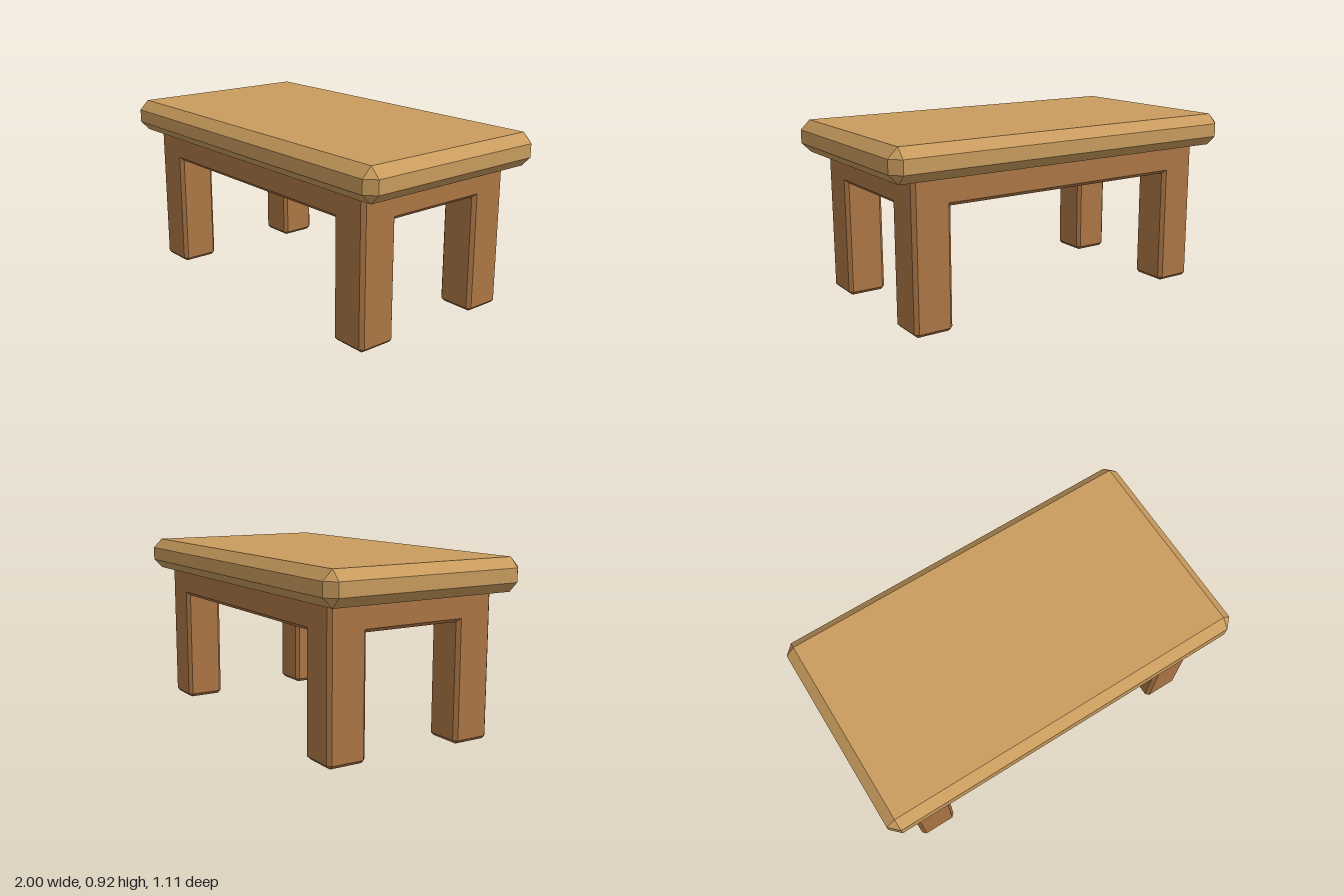
import * as THREE from 'three';
import { ConvexGeometry } from 'three/addons/geometries/ConvexGeometry.js';

// Box with a flat chamfer c on every edge, given its extents on each axis
function chamferedBox([x0, x1], [y0, y1], [z0, z1], c) {
  const centre = new THREE.Vector3((x0 + x1) / 2, (y0 + y1) / 2, (z0 + z1) / 2);
  const half = [(x1 - x0) / 2, (y1 - y0) / 2, (z1 - z0) / 2];
  const points = [];
  for (const sx of [-1, 1]) for (const sy of [-1, 1]) for (const sz of [-1, 1]) {
    for (let full = 0; full < 3; full++) {
      const [hx, hy, hz] = half.map((h, axis) => (axis === full ? h : h - c));
      points.push(new THREE.Vector3(sx * hx, sy * hy, sz * hz).add(centre));
    }
  }
  return new ConvexGeometry(points);
}

export function createModel() {
  const topWood = new THREE.MeshStandardMaterial({ color: 0xc99c5e });
  topWood.name = 'lightWood';
  const frameWood = new THREE.MeshStandardMaterial({ color: 0xac7645 });
  frameWood.name = 'redBrownWood';

  const table = new THREE.Group();
  table.name = 'table';
  const add = (name, geometry, material) => {
    const mesh = new THREE.Mesh(geometry, material);
    mesh.name = name;
    table.add(mesh);
  };
  // Interval on one side of the centre, ordered low to high
  const side = (s, inner, outer) => (s > 0 ? [inner, outer] : [-outer, -inner]);

  const outX = 0.867, inX = 0.663, outZ = 0.47, inZ = 0.263;
  const bevel = 0.018, apronDepth = 0.08;
  const apronY = [0.61, 0.79], legY = [0, 0.79];

  // Thick bevelled tabletop
  add('tabletop', chamferedBox([-1, 1], [0.75, 0.92], [-0.555, 0.555], 0.05), topWood);

  // Four legs, running up into the tabletop
  for (const sx of [1, -1]) for (const sz of [1, -1]) {
    const name = (sz > 0 ? 'front' : 'back') + (sx > 0 ? 'Left' : 'Right') + 'Leg';
    add(name, chamferedBox(side(sx, inX, outX), legY, side(sz, inZ, outZ), bevel), frameWood);
  }

  // Aprons flush with the outside of the legs, ending inside them
  const endX = (inX + outX) / 2, endZ = (inZ + outZ) / 2;
  for (const s of [1, -1]) {
    add(s > 0 ? 'frontApron' : 'backApron',
      chamferedBox([-endX, endX], apronY, side(s, outZ - apronDepth, outZ), bevel), frameWood);
    add(s > 0 ? 'leftApron' : 'rightApron',
      chamferedBox(side(s, outX - apronDepth, outX), apronY, [-endZ, endZ], bevel), frameWood);
  }
  return table;
}
